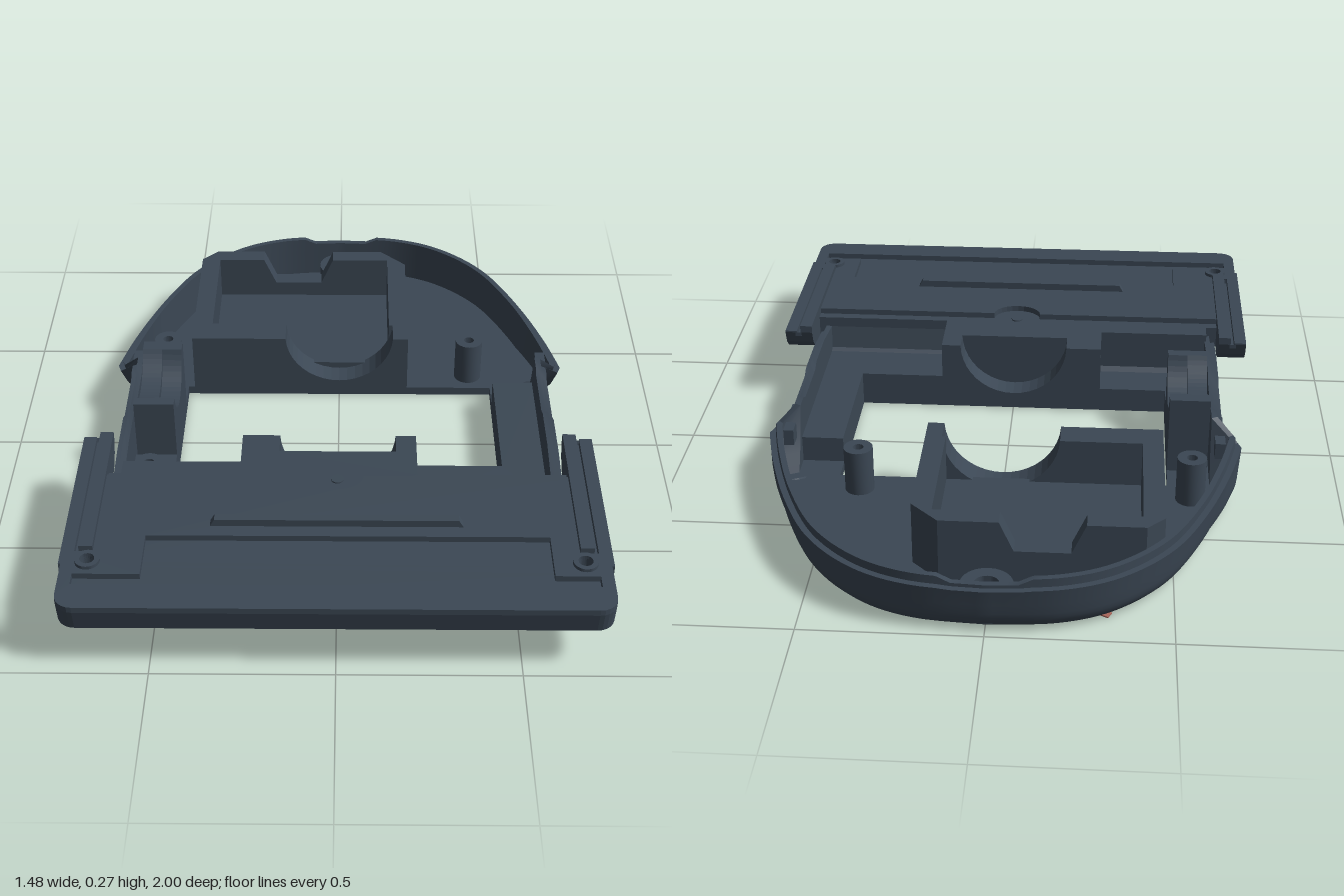
import * as THREE from 'three';
import { toCreasedNormals } from 'three/addons/utils/BufferGeometryUtils.js';

const slate = new THREE.MeshStandardMaterial({ color: 0x3b4754, side: THREE.DoubleSide });
slate.name = 'slate plastic';
const copper = new THREE.MeshStandardMaterial({ color: 0xa8665a });
copper.name = 'copper slots';

const vec = (pts) => pts.map(([a, b]) => new THREE.Vector2(a, b));

// Horizontal slab from [x, z] points, with outline holes and round holes [x, z, r]
function slab(pts, y0, y1, holes = [], rounds = []) {
  const flip = (p) => vec(p.map(([x, z]) => [x, -z]));
  const shape = new THREE.Shape(flip(pts));
  holes.forEach((h) => shape.holes.push(new THREE.Path(flip(h))));
  rounds.forEach(([x, z, r]) => shape.holes.push(new THREE.Path().absarc(x, -z, r, 0, Math.PI * 2, true)));
  const g = new THREE.ExtrudeGeometry(shape, { depth: y1 - y0, bevelEnabled: false, curveSegments: 12 });
  return g.rotateX(-Math.PI / 2).translate(0, y0, 0);
}
// Side profile in [z, y], extruded from x0 to x1
function alongX(pts, x0, x1) {
  const g = new THREE.ExtrudeGeometry(new THREE.Shape(vec(pts)), { depth: x1 - x0, bevelEnabled: false });
  return g.rotateY(-Math.PI / 2).translate(x1, 0, 0);
}
// Front profile in [x, y], extruded from z0 to z1
function alongZ(pts, z0, z1) {
  const g = new THREE.ExtrudeGeometry(new THREE.Shape(vec(pts)), { depth: z1 - z0, bevelEnabled: false });
  return g.translate(0, 0, z0);
}
// Block profile whose top is cut by a circle centred at height cy
function saddle(a0, a1, y0, y1, cy, r) {
  const start = Math.atan2(y1 - cy, Math.sqrt(r * r - (cy - y1) ** 2));
  const pts = [[a0, y0], [a1, y0], [a1, y1]];
  for (let i = 0; i <= 20; i++) {
    const t = start - (Math.PI + 2 * start) * i / 20;
    pts.push([r * Math.cos(t), cy + r * Math.sin(t)]);
  }
  pts.push([a0, y1]);
  return pts;
}
const rect = (x0, x1, z0, z1) => [[x0, z0], [x1, z0], [x1, z1], [x0, z1]];

// Hull outline as [x, z, rim height], right half then mirrored
function hullOutline() {
  const rear = new THREE.SplineCurve(vec([[0, -1], [0.2, -0.98], [0.36, -0.91], [0.5, -0.77],
    [0.6, -0.57], [0.665, -0.37], [0.705, -0.2]])).getPoints(36);
  const half = rear.map((p) => [p.x, p.y, p.x < 0.12 ? 0.15 : 0.168]);
  half.push([0.695, -0.172, 0.168], [0.65, -0.15, 0.215], [0.65, -0.12, 0.215], [0.65, -0.09, 0.2],
    [0.65, 0.09, 0.2], [0.65, 0.12, 0.215], [0.65, 0.27, 0.215], [0.65, 0.46, 0.19]);
  return [...half, ...half.slice(1).reverse().map(([x, z, r]) => [-x, z, r])];
}
const sideInset = (y) => {
  const t = Math.max(0, 1 - y / 0.06);
  return 0.02 * Math.max(0, 1 - y / 0.14) + 0.04 * (1 - Math.sqrt(1 - t * t));
};
const frontInset = (y) => 0.19 * Math.max(0, 1 - y / 0.15) ** 1.6;
// The shoulder behind the waist slants rearward towards the floor
const slant = (y, z) => (z > -0.14 ? 0
  : 0.1 * Math.max(0, 1 - y / 0.17) * THREE.MathUtils.clamp((z + 0.5) / 0.3, 0, 1));

// One ring of the hull; sideY and frontY pick the inset along the sides and the front
function hullRing(outline, yOf, extra, sideY, frontY) {
  const n = outline.length;
  return outline.map(([x, z, rim], i) => {
    const p = outline[(i + n - 1) % n], q = outline[(i + 1) % n];
    const normal = (a, b) => new THREE.Vector2(b[1] - a[1], a[0] - b[0]).normalize();
    const n1 = normal(p, [x, z]), n2 = normal([x, z], q);
    const m = n1.clone().add(n2).divideScalar(1 + n1.dot(n2));
    const y = yOf(rim);
    const s = sideInset(sideY) + extra, f = z > 0.3 ? frontInset(frontY) + extra : s;
    return [x - m.x * s, y, z - m.y * f - slant(y, z)];
  });
}

function hullWall(outline) {
  const rings = [0, 0.003, 0.01, 0.02, 0.032, 0.045, 0.06, 0.09, 0.12].map((y) =>
    hullRing(outline, () => y + 0.003, 0, y, y));
  const step = (r) => Math.max(0.14, r - 0.025), rim = (r) => r;
  [[step, 0], [step, 0.018], [rim, 0.018], [rim, 0.035]].forEach(([yOf, e]) =>
    rings.push(hullRing(outline, yOf, e, 1, 1)));
  [0.12, 0.08, 0.05, 0.03].forEach((y) => rings.push(hullRing(outline, () => y, 0.035, 1, y)));
  rings.push(hullRing(outline, () => 0.03, 0.005, 0, 0));
  const n = outline.length, idx = [];
  for (let j = 0; j < rings.length - 1; j++) {
    for (let i = 0; i < n; i++) {
      const a = j * n + i, b = j * n + (i + 1) % n;
      idx.push(a, a + n, b, b, a + n, b + n);
    }
  }
  const g = new THREE.BufferGeometry();
  g.setAttribute('position', new THREE.Float32BufferAttribute(rings.flat(2), 3));
  g.setIndex(idx);
  return toCreasedNormals(g, 0.6);
}

export function createModel() {
  const model = new THREE.Group();
  const add = (name, geo, mat = slate) => {
    const m = new THREE.Mesh(geo, mat);
    m.name = name;
    model.add(m);
    return m;
  };

  // Tray hull and floor with the rectangular opening
  const outline = hullOutline();
  add('hullWall', hullWall(outline));
  const base = hullRing(outline, () => 0.003, 0, 0, 0).map(([x, , z]) => [x, z]);
  add('trayFloor', slab(base, 0.003, 0.03, [rect(-0.49, 0.49, -0.26, 0.245)], [[0, -0.9, 0.03]]));

  // Rear motor box: side walls, ramped rear wall, raised floor and saddle wall
  add('boxSide', slab([[-0.47, -0.34], [-0.47, -0.74], [-0.42, -0.79], [-0.26, -0.79], [-0.26, -0.735],
    [-0.41, -0.735], [-0.41, -0.34]], 0.03, 0.22));
  add('boxSide', slab([[0.22, -0.34], [0.22, -0.71], [0.14, -0.79], [-0.025, -0.79], [-0.025, -0.735],
    [0.16, -0.735], [0.16, -0.34]], 0.03, 0.22));
  add('boxRearWall', alongZ([[-0.26, 0.03], [-0.025, 0.03], [-0.025, 0.22], [-0.065, 0.13], [-0.22, 0.13],
    [-0.26, 0.22]], -0.79, -0.735));
  add('boxFloor', slab(rect(-0.42, 0.17, -0.74, -0.33), 0.03, 0.08));
  add('rearSaddle', alongZ(saddle(-0.47, 0.22, 0.03, 0.22, 0.23, 0.172), -0.345, -0.26));

  // Front block below the plate, stepped to follow the hull, with its saddle
  const blockRear = [[-0.28, 0.245], [-0.172, 0.245], [-0.172, 0.32], [0.172, 0.32], [0.172, 0.245], [0.23, 0.245]];
  add('frontBlock', slab([[-0.62, 0.42], [-0.62, 0.37], [-0.28, 0.37], ...blockRear, [0.23, 0.42]], 0.1, 0.155));
  add('frontBlockFoot', slab([...blockRear, [0.23, 0.325], [-0.28, 0.325]], 0.03, 0.1));
  add('frontSaddle', alongZ(saddle(-0.172, 0.172, 0.03, 0.222, 0.225, 0.17), 0.245, 0.32));

  // Raised ledges beside the opening
  const rightLedge = (z) => [[0.49, -0.18], [0.625, -0.18], [0.625, z], [0.23, z], [0.23, 0.245], [0.49, 0.245]];
  add('rightLedgeFoot', slab(rightLedge(0.32), 0.03, 0.1));
  add('rightLedge', slab(rightLedge(0.42), 0.1, 0.11));
  const leftLedge = (z) => [[-0.625, 0.16], [-0.49, 0.16], [-0.49, 0.245], [-0.28, 0.245], [-0.28, z], [-0.625, z]];
  add('leftLedgeFoot', slab(leftLedge(0.32), 0.03, 0.07));
  add('leftLedge', slab(leftLedge(0.37), 0.07, 0.08));

  // Left axle cradle
  add('cradleOuter', alongX(saddle(-0.17, 0.16, 0.03, 0.27, 0.345, 0.148), -0.61, -0.55));
  add('cradleInner', alongX(saddle(-0.17, 0.16, 0.03, 0.27, 0.3, 0.13), -0.55, -0.49));

  // Front plate with rounded corners, continuing over the block, and a recessed top layer
  const corner = (s) => Array.from({ length: 7 }, (_, i) => {
    const t = (i / 6) * Math.PI / 2;
    return [s * (0.685 + 0.05 * Math.cos(t)), 0.95 + 0.05 * Math.sin(t)];
  });
  const front = [...corner(1), ...corner(-1).reverse()];
  const screws = [[-0.665, 0.82, 0.02], [0.665, 0.82, 0.02]];
  const plate = slab([[0.735, 0.425], ...front, [-0.735, 0.425], [-0.62, 0.425], [-0.62, 0.37], [-0.28, 0.37],
    ...blockRear, [0.23, 0.425]], 0.155, 0.222, [], screws);
  const pos = plate.attributes.position;
  for (let i = 0; i < pos.count; i++) {
    if (pos.getY(i) < 0.16 && pos.getZ(i) > 0.9) pos.setZ(i, pos.getZ(i) - 0.014);
  }
  plate.computeVertexNormals();
  add('plateBase', plate);
  const notch = Array.from({ length: 13 }, (_, i) => {
    const t = Math.PI * (1 - i / 12);
    return [0.075 * Math.cos(t), 0.455 + 0.06 * Math.sin(t)];
  });
  const recess = [[-0.7, 0.87], [-0.52, 0.87], [-0.52, 0.715], [0.58, 0.715], [0.58, 0.87],
    [0.7, 0.87], [0.7, 0.91], [-0.7, 0.91]];
  add('plateTop', slab([[-0.695, 0.455], ...notch, [0.695, 0.455], [0.695, 0.78], [0.735, 0.78], ...front,
    [-0.735, 0.78], [-0.695, 0.78]], 0.222, 0.24, [recess], screws));
  add('plateRib', alongZ([[-0.35, 0.235], [0.35, 0.235], [0.335, 0.262], [-0.335, 0.262]], 0.65, 0.675));
  add('tabScrew', new THREE.CylinderGeometry(0.018, 0.018, 0.008, 16).translate(0, 0.222, 0.45));

  // Screw posts and bosses
  const post = (x, z, r, hole, y0, y1) => add('screwPost', toCreasedNormals(new THREE.LatheGeometry(
    vec([[hole, y0], [r, y0], [r, y1], [hole, y1], [hole, y0]]), 24), 0.6).translate(x, 0, z));
  [[-0.555, -0.33, 0.02], [0.42, -0.33, 0.02], [-0.555, 0.31, 0.07]].forEach(([x, z, y]) =>
    post(x, z, 0.043, 0.016, y, 0.17));
  post(0, -0.9, 0.072, 0.035, 0.02, 0.1);
  post(0, -0.9, 0.04, 0.016, 0.015, 0.06);

  // Side rails with curved rear ends, screw bosses and rim tabs
  const railProfile = (top, end) => [[0.28, top], [0.28, 0.235], [0.295, 0.195], [0.32, 0.17], [0.36, 0.155],
    [0.46, 0.155], [0.46, 0.2], [end, 0.2], [end, top]];
  for (const s of [-1, 1]) {
    const rail = (a, b, top, end) => add('sideRail',
      alongX(railProfile(top, end), Math.min(s * a, s * b), Math.max(s * a, s * b)));
    rail(0.655, 0.693, 0.258, 0.78);
    rail(0.705, 0.742, 0.24, 0.83);
    rail(0.69, 0.71, 0.222, 0.78);
    post(s * 0.665, 0.82, 0.034, 0.02, 0.2, 0.25);
    add('rimTab', new THREE.BoxGeometry(0.03, 0.05, 0.05).translate(s * 0.64, 0.15, -0.23));
  }

  // Slanted slots under the floor
  const spots = [[-0.46, -0.38], [-0.23, -0.38], [0, -0.38], [0.23, -0.38], [0.46, -0.38], [-0.35, -0.61],
    [-0.12, -0.61], [0.12, -0.61], [0.35, -0.61], [-0.25, -0.81], [0, -0.79], [0.25, -0.81]];
  for (const [x, z] of spots) {
    const size = x === 0 && z < -0.7 ? 0.6 : 1;
    for (const side of [-1, 1]) {
      for (let i = -1; i <= 1; i++) {
        const slot = add('floorSlot', new THREE.BoxGeometry(0.082 * size, 0.004, 0.024 * size), copper);
        slot.position.set(x + side * 0.042 * size, 0.002, z + (i * 0.045 + side * 0.012) * size);
        slot.rotation.y = side * 0.5;
      }
    }
  }
  return model;
}
